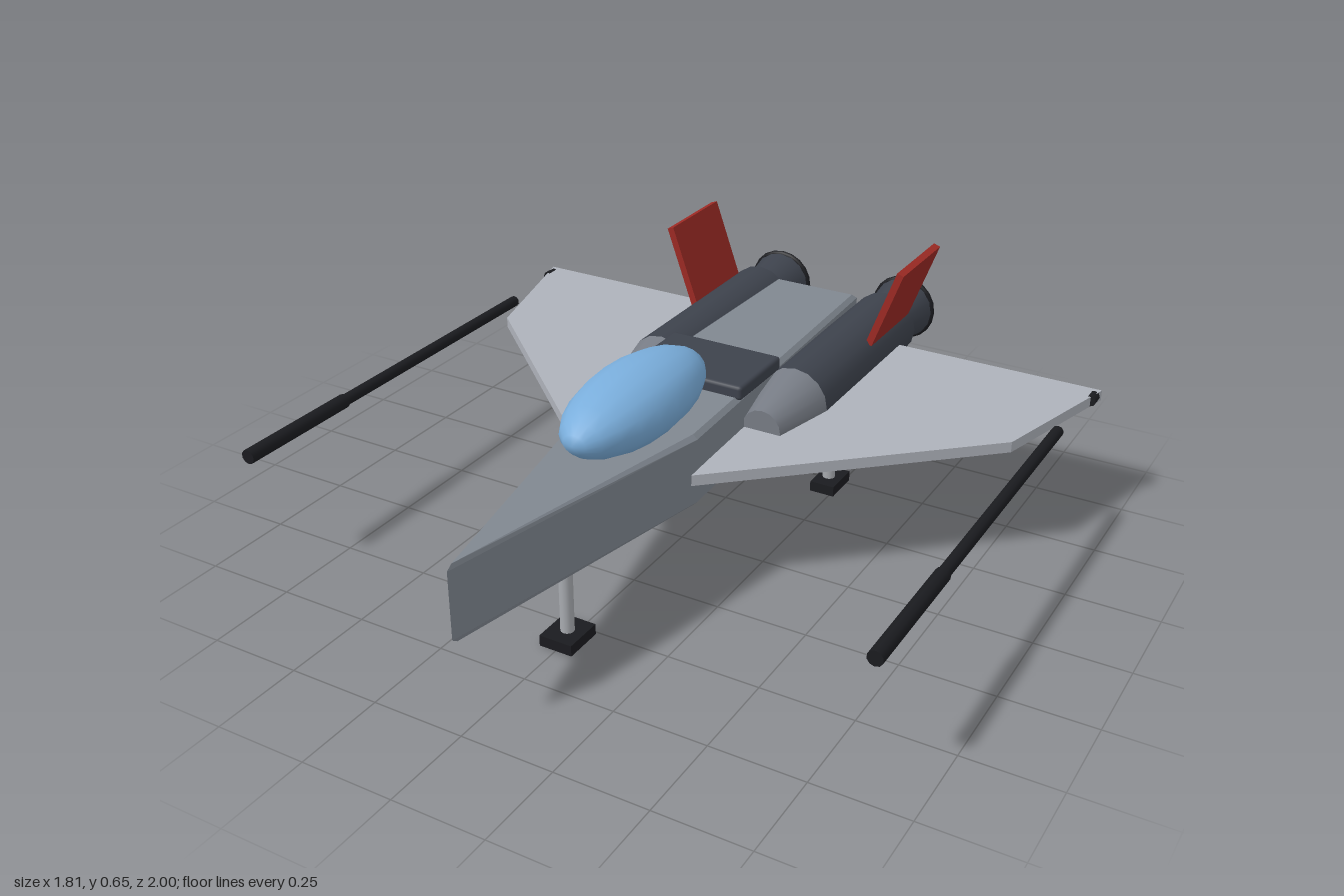
import * as THREE from 'three';
import { RoundedBoxGeometry } from 'three/addons/geometries/RoundedBoxGeometry.js';

const paint = (color) => new THREE.MeshStandardMaterial({ color });
const hull = paint(0x808790), dark = paint(0x3d424c), cone = paint(0x777c85);
const wingGrey = paint(0xaeb2ba), red = paint(0x9c2a24), glass = paint(0x7aaedc);
const black = paint(0x1a1b1f), steel = paint(0xa8abb0);

function add(parent, name, geometry, material, x = 0, y = 0, z = 0) {
  const mesh = new THREE.Mesh(geometry, material);
  mesh.name = name;
  mesh.position.set(x, y, z);
  parent.add(mesh);
  return mesh;
}

// Flat plate from an outline of [x, z] points, centred on y = 0
function plate(points, height, bevel = 0) {
  const shape = new THREE.Shape(points.map(([x, z]) => new THREE.Vector2(x, -z)));
  const geometry = new THREE.ExtrudeGeometry(shape, {
    depth: height - 2 * bevel, bevelEnabled: bevel > 0,
    bevelSize: bevel, bevelThickness: bevel, bevelSegments: 1,
  });
  geometry.rotateX(-Math.PI / 2);
  geometry.translate(0, -(height - 2 * bevel) / 2, 0);
  return geometry;
}

// Cylinder along z between two depths
function tubeZ(rFront, rBack, zFront, zBack, sides = 16, open = false) {
  const geometry = new THREE.CylinderGeometry(rFront, rBack, zFront - zBack, sides, 1, open);
  geometry.rotateX(Math.PI / 2);
  geometry.translate(0, 0, (zFront + zBack) / 2);
  return geometry;
}

// Two-stage strut on a flat foot
function landingGear(name, x, z, footX, footWidth) {
  const gear = new THREE.Group();
  gear.name = name;
  add(gear, 'upperStrut', new THREE.CylinderGeometry(0.025, 0.025, 0.05, 12), steel, x, 0.226, z);
  const top = new THREE.Vector3(x, 0.21, z), foot = new THREE.Vector3(footX - (footX - x) * 0.2, 0.025, z);
  const dir = top.clone().sub(foot);
  const strut = add(gear, 'lowerStrut', new THREE.CylinderGeometry(0.018, 0.018, dir.length(), 12), steel);
  strut.position.copy(top).add(foot).multiplyScalar(0.5);
  strut.quaternion.setFromUnitVectors(new THREE.Vector3(0, 1, 0), dir.normalize());
  add(gear, 'foot', new THREE.BoxGeometry(footWidth, 0.03, 0.11), black, footX, 0.015, z);
  return gear;
}

function engine(x) {
  const group = new THREE.Group();
  group.name = 'engine';
  group.position.set(x, 0.362, 0);
  add(group, 'engineBody', tubeZ(0.098, 0.098, -0.244, -0.843), dark);
  add(group, 'intakeCone', tubeZ(0.055, 0.098, -0.053, -0.244), cone);
  add(group, 'nozzle', tubeZ(0.07, 0.094, -0.843, -0.99), dark);
  add(group, 'nozzleRim', new THREE.TorusGeometry(0.09, 0.01, 8, 20), black, 0, 0, -0.99);
  const exhaust = add(group, 'exhaust', new THREE.CircleGeometry(0.09, 20), paint(0x0a0a0c), 0, 0, -0.994);
  exhaust.rotation.y = Math.PI;
  return group;
}

export function createModel() {
  const model = new THREE.Group();
  model.name = 'starfighter';

  // Central body
  add(model, 'fuselage', plate(
    [[0, 0.987], [-0.154, 0.21], [-0.121, -0.793], [0.121, -0.793], [0.154, 0.21]], 0.202, 0.012),
  hull, 0, 0.354, 0);
  add(model, 'dorsalPanel', new RoundedBoxGeometry(0.33, 0.04, 0.225, 2, 0.01), dark, 0, 0.467, -0.131);
  const canopyShape = new THREE.SphereGeometry(1, 16, 12);
  canopyShape.rotateX(Math.PI / 2);
  canopyShape.scale(0.125, 0.098, 0.285);
  add(model, 'canopy', canopyShape, glass, 0, 0.52, 0.232);

  for (const side of [-1, 1]) {
    // Wing and tip light
    const outline = [[0.168, 0.244], [0.795, -0.323], [0.905, -0.734], [0.125, -0.734]];
    add(model, 'wing', plate(outline.map(([x, z]) => [x * side, z]), 0.03), wingGrey, 0, 0.343, 0);
    add(model, 'wingTip', tubeZ(0.016, 0.016, 0.018, -0.018, 8), black, side * 0.89, 0.345, -0.698);

    // Long gun with a thicker muzzle
    add(model, 'gunBarrel', tubeZ(0.016, 0.016, 0.34, -0.467, 10), black, side * 0.87, 0.344, 0);
    add(model, 'gunMuzzle', tubeZ(0.02, 0.02, 0.705, 0.333, 10), black, side * 0.87, 0.344, 0);

    model.add(engine(side * 0.208));

    // Outward leaning tail fin
    const fin = add(model, 'tailFin', new THREE.BoxGeometry(0.02, 0.24, 0.263), red, side * 0.322, 0.535, -0.692);
    fin.rotation.z = -side * THREE.MathUtils.degToRad(20);

    model.add(landingGear('rearGear', side * 0.208, -0.463, side * 0.227, 0.073));
  }
  model.add(landingGear('frontGear', 0, 0.563, 0, 0.093));
  return model;
}
